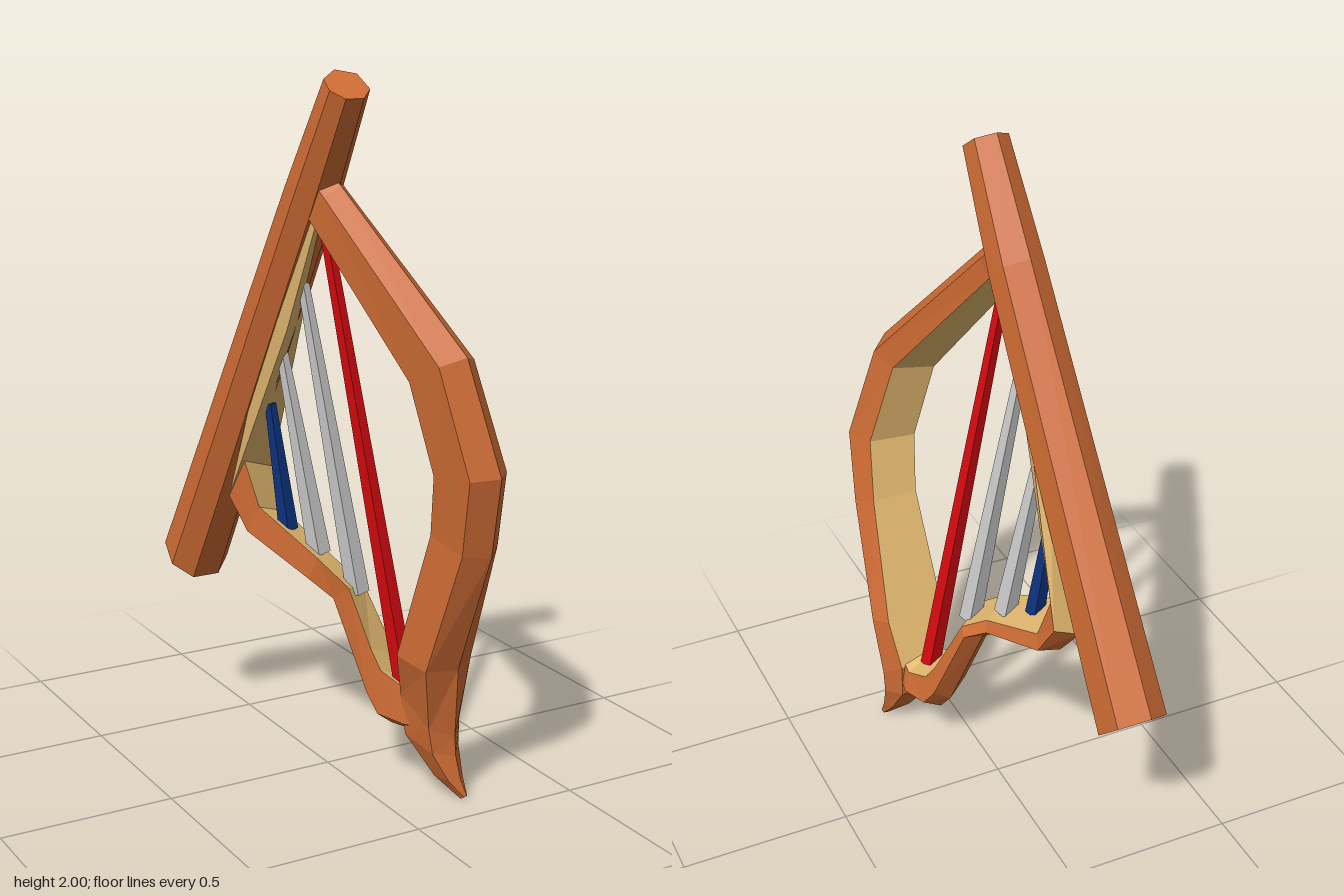
import * as THREE from 'three';

const mat = (name, color) => {
  const m = new THREE.MeshStandardMaterial({ color, flatShading: true });
  m.name = name;
  return m;
};

// Joins rings of points into a faceted capped solid; faces on side `liner` use material 1
function loft(rings, liner = -1) {
  const parts = [[], []];
  const tri = (k, ...pts) => pts.forEach(p => parts[k].push(p.x, p.y, p.z));
  const n = rings[0].length;
  for (let i = 0; i < rings.length - 1; i++) {
    for (let j = 0; j < n; j++) {
      const k = j === liner ? 1 : 0, j2 = (j + 1) % n;
      const a = rings[i][j], b = rings[i][j2], c = rings[i + 1][j2], d = rings[i + 1][j];
      tri(k, a, d, b);
      tri(k, b, d, c);
    }
  }
  const first = rings[0], last = rings[rings.length - 1];
  for (let j = 1; j < n - 1; j++) {
    tri(0, first[0], first[j], first[j + 1]);
    tri(0, last[0], last[j + 1], last[j]);
  }
  const g = new THREE.BufferGeometry();
  g.setAttribute('position', new THREE.Float32BufferAttribute([...parts[0], ...parts[1]], 3));
  g.addGroup(0, parts[0].length / 3, 0);
  g.addGroup(parts[0].length / 3, parts[1].length / 3, 1);
  g.computeVertexNormals();
  return g;
}

// Five-sided section: outer ridge, two flanks, flat inner face turned slightly to one side
// station = [centre x, outer z, outer y, inner z, inner y, half width]
const N = new THREE.Vector3(0.957, 0, -0.29);
function frameRing([x, oz, oy, iz, iy, w]) {
  const lean = 0.15 * (oz - iz);
  const outer = new THREE.Vector3(x + lean, oy, oz);
  const inner = new THREE.Vector3(x - lean, iy, iz);
  const out = outer.clone().sub(inner).normalize();
  const flank = inner.clone().lerp(outer, 0.7);
  const off = (p, d, t = 0) => p.clone().addScaledVector(N, d).addScaledVector(out, t);
  return [outer, off(flank, w), off(inner, w * 0.77, w * 0.33), off(inner, -w * 0.93, -w * 0.33), off(flank, -w)];
}

// Seven-sided section of the straight beam
const BEAM_ANGLES = [42, 100, 155, 200, 245, 295, 340];
function beamRing([x, y, z, rx, vy, vz]) {
  return BEAM_ANGLES.map(deg => {
    const a = THREE.MathUtils.degToRad(deg), s = Math.sin(a) * 1.03;
    return new THREE.Vector3(x + Math.cos(a) * rx * 1.04, y + s * vy, z + s * vz);
  });
}

export function createModel() {
  const model = new THREE.Group();
  model.name = 'harp';
  const wood = mat('wood', 0xd06d35);
  const gold = mat('pale wood', 0xe2b86f);
  const red = mat('red string', 0xd80a10);
  const grey = mat('grey string', 0xcccccc);
  const blue = mat('blue string', 0x0c3380);

  const add = (name, geometry, material) => {
    const mesh = new THREE.Mesh(geometry, material);
    mesh.name = name;
    model.add(mesh);
    return mesh;
  };

  // Straight slanted beam
  add('beam', loft([
    [-0.07, 1.965, 0.225, 0.061, 0.035, -0.045],
    [-0.085, 1.665, 0.065, 0.075, 0.045, -0.055],
    [-0.16, 0.525, -0.53, 0.094, 0.066, -0.07],
  ].map(beamRing)), wood);

  // Curved bow with a pale inner face
  const bowEnd = [0.165, 0.39, 0.19, 0.265, 0.28, 0.065];
  add('bow', loft([
    [-0.08, 0.10, 1.76, 0.06, 1.67, 0.05],
    [-0.06, 0.165, 1.70, 0.115, 1.61, 0.05],
    [0.10, 0.52, 1.29, 0.405, 1.225, 0.07],
    [0.155, 0.60, 0.98, 0.46, 0.97, 0.075],
    [0.165, 0.55, 0.75, 0.425, 0.79, 0.073],
    [0.155, 0.42, 0.40, 0.31, 0.42, 0.095],
    bowEnd,
  ].map(frameRing), 2), [wood, gold]);

  // Pointed foot below the bow
  add('foot', loft([
    bowEnd,
    [0.17, 0.39, 0.13, 0.27, 0.165, 0.055],
    [0.19, 0.40, 0.06, 0.34, 0.06, 0.03],
    [0.212, 0.41, 0.012, 0.395, 0.002, 0.007],
  ].map(frameRing)), wood);

  // Lower arm from the foot to the beam
  const armEnd = [-0.085, -0.33, 0.72, -0.265, 0.85, 0.08];
  add('lowerArm', loft([
    [0.15, 0.285, 0.17, 0.285, 0.295, 0.05],
    [0.145, 0.26, 0.165, 0.25, 0.29, 0.06],
    [0.115, 0.17, 0.165, 0.18, 0.32, 0.065],
    [0.10, 0.13, 0.22, 0.145, 0.375, 0.062],
    [0.045, 0.025, 0.51, 0.08, 0.555, 0.058],
    [0.0, -0.03, 0.55, 0.0, 0.62, 0.06],
    [-0.06, -0.27, 0.635, -0.225, 0.72, 0.075],
    armEnd,
  ].map(frameRing), 2), [wood, gold]);

  // Pale lining along the inside of the beam
  add('beamLining', loft([
    armEnd,
    [-0.09, -0.10, 1.335, -0.035, 1.30, 0.055],
    [-0.075, 0.05, 1.66, 0.105, 1.62, 0.045],
  ].map(frameRing)), gold);

  // Square strings: top point, bottom point, top and bottom radius
  [
    ['redString', red, [-0.07, 1.62, 0.10], [0.12, 0.29, 0.23], 0.016, 0.03],
    ['longGreyString', grey, [-0.08, 1.43, 0.005], [0.05, 0.54, 0.085], 0.016, 0.033],
    ['shortGreyString', grey, [-0.09, 1.22, -0.10], [-0.005, 0.63, -0.04], 0.016, 0.033],
    ['blueString', blue, [-0.09, 1.05, -0.17], [-0.05, 0.68, -0.14], 0.016, 0.028],
  ].forEach(([name, material, top, bottom, r1, r2]) => {
    const a = new THREE.Vector3(...top), b = new THREE.Vector3(...bottom);
    const geometry = new THREE.CylinderGeometry(r1, r2, a.distanceTo(b), 4).rotateY(Math.PI / 4 + 0.29);
    const mesh = add(name, geometry, material);
    mesh.position.copy(a).add(b).multiplyScalar(0.5);
    mesh.quaternion.setFromUnitVectors(new THREE.Vector3(0, 1, 0), a.sub(b).normalize());
  });

  return model;
}
